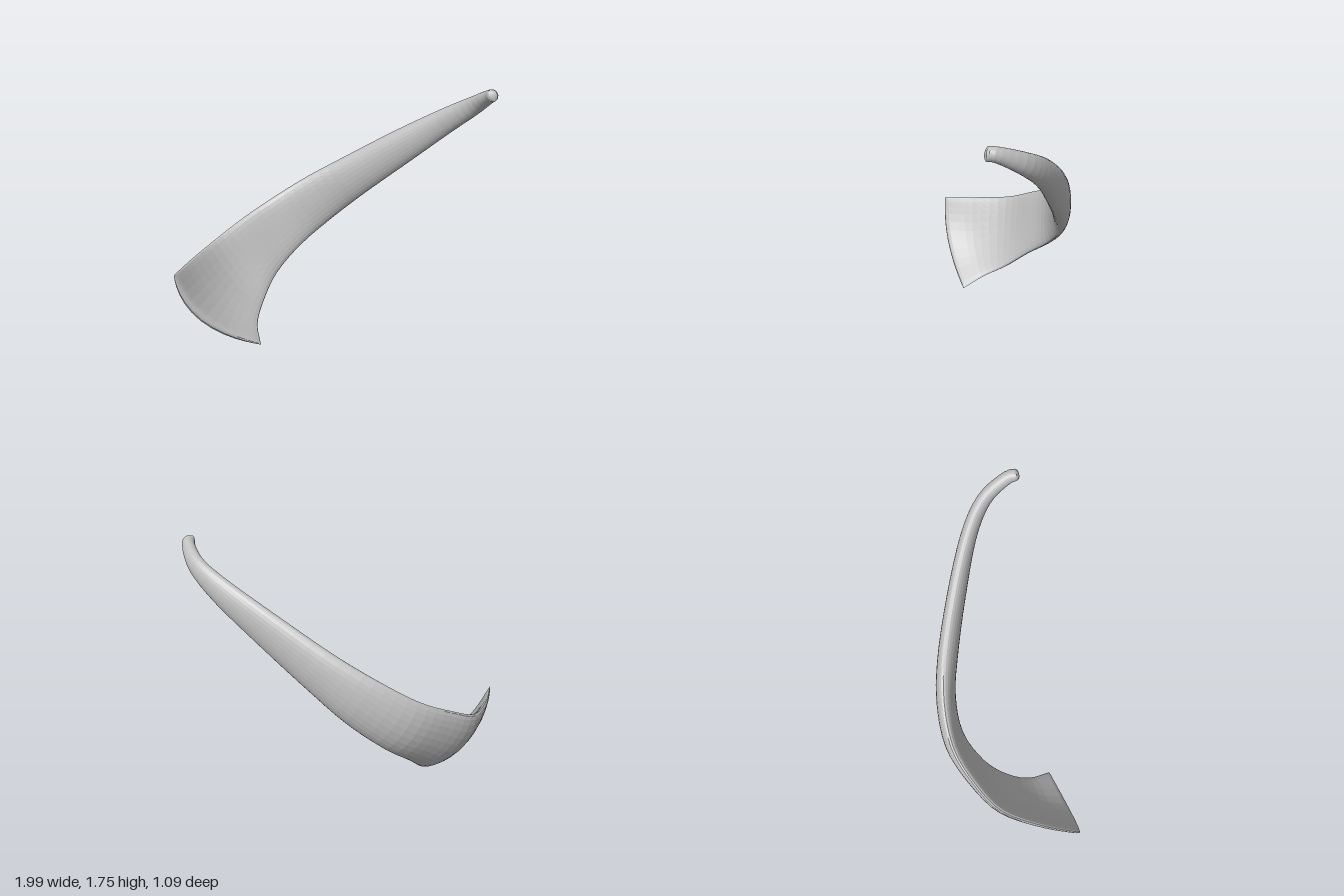
import * as THREE from 'three';

// Stations along the horn: upper edge, middle of the blade, lower edge, half thickness
const STATIONS = [
  [[-0.975, 0.59, 0.54], [-0.82, 0.26, 0.49], [-0.48, 0.02, 0.29], 0.03],
  [[-0.97, 0.61, 0.28], [-0.82, 0.29, 0.24], [-0.56, 0.10, 0.14], 0.04],
  [[-0.92, 0.66, 0.00], [-0.78, 0.39, -0.03], [-0.575, 0.20, -0.03], 0.05],
  [[-0.78, 0.775, -0.20], [-0.67, 0.55, -0.23], [-0.53, 0.36, -0.21], 0.055],
  [[-0.60, 0.90, -0.36], [-0.50, 0.70, -0.395], [-0.39, 0.54, -0.38], 0.06],
  [[-0.36, 1.055, -0.45], [-0.26, 0.89, -0.475], [-0.17, 0.74, -0.475], 0.063],
  [[-0.08, 1.215, -0.485], [0.00, 1.08, -0.487], [0.08, 0.95, -0.488], 0.064],
  [[0.28, 1.42, -0.47], [0.35, 1.32, -0.465], [0.42, 1.22, -0.46], 0.057],
  [[0.60, 1.59, -0.425], [0.65, 1.515, -0.425], [0.70, 1.445, -0.42], 0.05],
  [[0.80, 1.69, -0.36], [0.84, 1.64, -0.35], [0.88, 1.59, -0.34], 0.045],
  [[0.93, 1.76, -0.22], [0.955, 1.725, -0.22], [0.98, 1.69, -0.215], 0.04],
  [[0.95, 1.77, -0.165], [0.97, 1.735, -0.15], [0.992, 1.70, -0.16], 0.038],
];

const railCurve = (k) =>
  new THREE.CatmullRomCurve3(STATIONS.map((s) => new THREE.Vector3(...s[k])), false, 'catmullrom', 0.5);
const rails = [0, 1, 2].map(railCurve);

// Point on the blade's mid surface: s = 1 is the upper edge, s = -1 the lower edge
function midSurface(u, s) {
  const [a, m, b] = rails.map((r) => r.getPoint(THREE.MathUtils.clamp(u, 0, 1)));
  return a.multiplyScalar((s * (s + 1)) / 2)
    .addScaledVector(m, 1 - s * s)
    .addScaledVector(b, (s * (s - 1)) / 2);
}

// Half thickness, rounded off towards both ends
function halfThickness(u) {
  const f = u * (STATIONS.length - 1);
  const i = Math.min(Math.floor(f), STATIONS.length - 2);
  const t = THREE.MathUtils.lerp(STATIONS[i][3], STATIONS[i + 1][3], f - i);
  const round = (d, r) => (d < r ? Math.sqrt(Math.max(0, 1 - ((r - d) / r) ** 2)) : 1);
  return t * round(u, 0.014) * round(1 - u, 0.045);
}

function hornGeometry(rings, sides) {
  const us = [0, 0.002, 0.007, 0.014];
  for (let i = 1; i < rings; i++) us.push(0.014 + (0.955 - 0.014) * (i / rings));
  us.push(0.955, 0.975, 0.99, 0.997, 1);

  const positions = [];
  const index = [];
  const e = 0.004;
  us.forEach((u, i) => {
    for (let j = 0; j < sides; j++) {
      const angle = (j / sides) * Math.PI * 2;
      const s = Math.cos(angle);
      const across = midSurface(u, s + e).sub(midSurface(u, s - e));
      const along = midSurface(u + e, s).sub(midSurface(u - e, s));
      const normal = across.cross(along).normalize();
      const p = midSurface(u, s).addScaledVector(normal, halfThickness(u) * Math.sin(angle));
      positions.push(p.x, p.y, p.z);
      if (i === us.length - 1) continue;
      const a = i * sides + j;
      const c = i * sides + ((j + 1) % sides);
      index.push(a, a + sides, c, a + sides, c + sides, c);
    }
  });
  const geometry = new THREE.BufferGeometry();
  geometry.setAttribute('position', new THREE.Float32BufferAttribute(positions, 3));
  geometry.setIndex(index);
  geometry.computeVertexNormals();
  return geometry;
}

export function createModel() {
  const grey = new THREE.MeshStandardMaterial({ color: 0xbfbfbf, flatShading: true });
  grey.name = 'plain grey';

  // One curved blade, flared into a trough at its base and tapering to a blunt tip
  const horn = new THREE.Mesh(hornGeometry(40, 28), grey);
  horn.name = 'curvedHorn';

  const group = new THREE.Group();
  group.name = 'flaredHorn';
  group.add(horn);
  return group;
}
